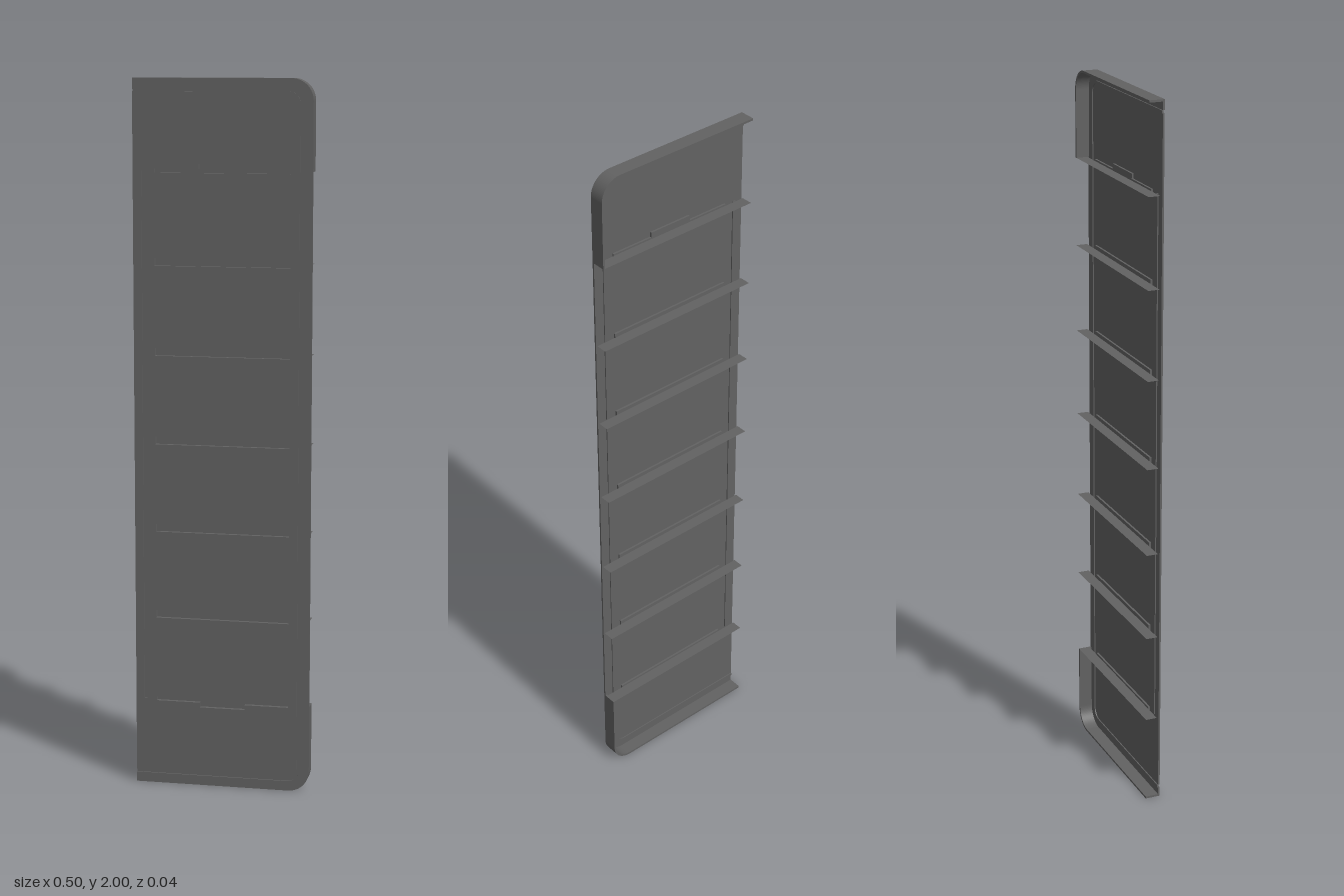
import * as THREE from 'three';

const W = 0.25, H = 2, R = 0.06;      // half width, height, corner radius
const BACK = -0.0215, FRONT = 0.0215;
const PLATE_BACK = 0.0165, GROOVE = 0.0175, POCKET = 0.011;
const N = 24;                         // segments per rounded corner

// Open outline: left end of the top, round both right corners, left end of the bottom
function bracket(inset, radius) {
  const x = W - inset - radius, pts = [new THREE.Vector2(-W, H - inset)];
  for (const [cy, start] of [[H - inset - radius, Math.PI / 2], [inset + radius, 0]]) {
    for (let i = 0; i <= N; i++) {
      const a = start - Math.PI / 2 * i / N;
      pts.push(new THREE.Vector2(x + radius * Math.cos(a), cy + radius * Math.sin(a)));
    }
  }
  pts.push(new THREE.Vector2(-W, inset));
  return pts;
}

function extrude(shape, z0, z1) {
  const g = new THREE.ExtrudeGeometry(shape, { depth: z1 - z0, bevelEnabled: false });
  return g.translate(0, 0, z0);
}

// Closed band between two parallel outlines
const band = (outer, inner) => new THREE.Shape([...outer, ...inner.slice().reverse()]);

// Side wall along a closed outline
function ribbon(pts, z0, z1) {
  const pos = [], index = [], n = pts.length;
  pts.forEach((p, i) => {
    pos.push(p.x, p.y, z0, p.x, p.y, z1);
    const a = 2 * i, b = 2 * ((i + 1) % n);
    index.push(a, a + 1, b, b, a + 1, b + 1);
  });
  const g = new THREE.BufferGeometry();
  g.setAttribute('position', new THREE.Float32BufferAttribute(pos, 3));
  g.setIndex(index);
  g.computeVertexNormals();
  return g;
}

// Recess outlines: plain slots, and slots with a finger tab at each end
function slotPoints(y, tab) {
  const s = 0.19, t = 0.065;
  let pts = [[-s, -0.011], [s, -0.011], [s, 0.011], [-s, 0.011]];
  if (tab) {
    const near = -tab * 0.006, far = tab * 0.005, tip = tab * 0.019;
    pts = [[-s, near], [s, near], [s, far], [t, far], [t, tip], [-t, tip], [-t, far], [-s, far]];
  }
  return pts.map(([px, py]) => new THREE.Vector2(px, y + py));
}

export function createModel() {
  const group = new THREE.Group();
  const mat = new THREE.MeshStandardMaterial({ color: 0x626262, flatShading: true, side: THREE.DoubleSide });
  const add = (name, geometry) => {
    const mesh = new THREE.Mesh(geometry, mat);
    mesh.name = name;
    group.add(mesh);
    return mesh;
  };

  // Slot outlines, one at each shelf height
  const slots = [];
  for (let i = 1; i <= 7; i++) slots.push(slotPoints(i * 0.25, i === 7 ? 1 : i === 1 ? -1 : 0));

  // Back skin, pierced by the slots
  const skin = new THREE.Shape(bracket(0, R));
  slots.forEach(pts => skin.holes.push(new THREE.Path(pts)));
  add('backSkin', extrude(skin, PLATE_BACK, GROOVE));

  // Front face: border and panel, parted by a groove; a straight groove runs down the left
  add('faceBorder', extrude(band(bracket(0, R), bracket(0.028, 0.036)), GROOVE, FRONT));
  const panel = new THREE.Shape(bracket(0.036, 0.03));
  slots.forEach(pts => panel.holes.push(new THREE.Path(pts)));
  const sideGroove = [[-0.226, 0.25], [-0.218, 0.25], [-0.218, 1.75], [-0.226, 1.75]]
    .map(p => new THREE.Vector2(...p));
  panel.holes.push(new THREE.Path(sideGroove));
  add('facePanel', extrude(panel, GROOVE, FRONT));

  // Ribs behind the grooves
  add('grooveRib', extrude(band(bracket(0.028, 0.036), bracket(0.036, 0.03)), PLATE_BACK - 0.003, PLATE_BACK));
  add('sideRib', extrude(new THREE.Shape(sideGroove), PLATE_BACK - 0.003, PLATE_BACK));

  // Pockets behind the slots
  slots.forEach(pts => {
    add('slotPocketWall', ribbon(pts, POCKET, PLATE_BACK));
    add('slotPocketFloor', new THREE.ShapeGeometry(new THREE.Shape(pts)).translate(0, 0, POCKET));
  });

  // Return walls: top and bottom, each wrapping its corner and stopping at the end shelf
  const t = 0.006;
  const outer = bracket(0, R).slice(0, N + 2), inner = bracket(t, R - t).slice(0, N + 2);
  outer.push(new THREE.Vector2(W, 1.75));
  inner.push(new THREE.Vector2(W - t, 1.75));
  const flip = pts => pts.map(p => new THREE.Vector2(p.x, H - p.y));
  add('topWall', extrude(band(outer, inner), BACK, PLATE_BACK));
  add('bottomWall', extrude(band(flip(outer), flip(inner)), BACK, PLATE_BACK));

  // Thin cross shelves behind the plate
  const depth = POCKET - BACK;
  for (let i = 1; i <= 7; i++) {
    const shelf = add('crossShelf', new THREE.PlaneGeometry(2 * W, depth).rotateX(-Math.PI / 2));
    shelf.position.set(0, i * 0.25, BACK + depth / 2);
  }
  return group;
}
